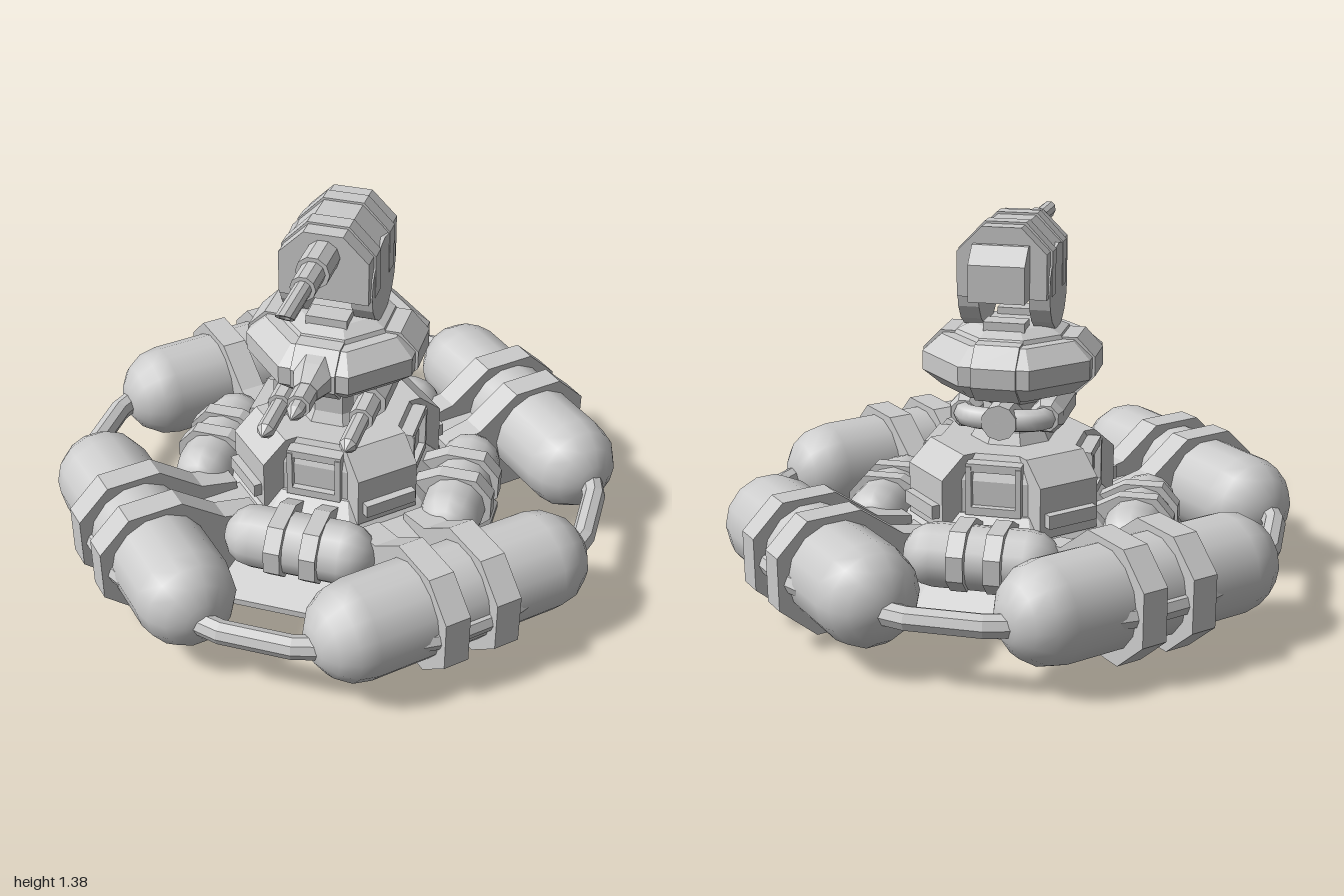
import * as THREE from 'three';

const flat = new THREE.MeshStandardMaterial({ color: 0xcccccc, flatShading: true, side: THREE.DoubleSide });
const smooth = new THREE.MeshStandardMaterial({ color: 0xcccccc });

function add(parent, name, geometry, x = 0, y = 0, z = 0, material = flat) {
  const mesh = new THREE.Mesh(geometry, material);
  mesh.name = name;
  mesh.position.set(x, y, z);
  parent.add(mesh);
  return mesh;
}

const box = (w, h, d) => new THREE.BoxGeometry(w, h, d);

// Eight-sided solid with faces square to the axes; points are [apothem, y]
function octagon(points) {
  const k = 1 / Math.cos(Math.PI / 8);
  const profile = points.map(([r, y]) => new THREE.Vector2(r * k, y));
  return new THREE.LatheGeometry(profile, 8).rotateY(Math.PI / 8);
}

// Outline in (x, y) extruded along z and centred on it
function slab(points, depth) {
  const shape = new THREE.Shape(points.map(([x, y]) => new THREE.Vector2(x, y)));
  return new THREE.ExtrudeGeometry(shape, { depth, bevelEnabled: false }).translate(0, 0, -depth / 2);
}

// Four copies around the vertical axis, each built facing local +x
function fourTimes(parent, name, start, build) {
  for (let i = 0; i < 4; i++) {
    const g = new THREE.Group();
    g.name = name;
    g.rotation.y = start + i * Math.PI / 2;
    build(g);
    parent.add(g);
  }
}

// Stepped barrel along +z from [radius, z] points
function barrel(points, sides = 10) {
  const profile = points.map(([r, z]) => new THREE.Vector2(r, z));
  return new THREE.LatheGeometry(profile, sides).rotateY(Math.PI / sides).rotateX(Math.PI / 2);
}

function buildBase(model) {
  const base = new THREE.Group();
  base.name = 'base';
  model.add(base);
  add(base, 'hull', octagon([[0, 0.02], [0.58, 0.02], [0.58, 0.045], [0.36, 0.3], [0.3, 0.36], [0, 0.36]]));
  add(base, 'bottomRim', octagon([[0.39, 0.02], [0.39, 0], [0.43, 0], [0.43, 0.02]]));
  add(base, 'core', octagon([[0.29, 0.3], [0.29, 0.48], [0.25, 0.57], [0, 0.57]]));

  // Round guard rail linking the large tanks
  const rail = new THREE.TorusGeometry(0.965, 0.042, 8, 24).rotateX(Math.PI / 2).rotateY(Math.PI / 24);
  add(base, 'guardRail', rail, 0, 0.25, 0);

  // Large float tanks on the diagonals
  const tank = new THREE.CapsuleGeometry(0.18, 0.73, 4, 14).rotateX(Math.PI / 2);
  const strap = slab([[0.4, 0.06], [0.6, 0.04], [0.88, 0.04], [1.015, 0.16], [1.015, 0.35],
    [0.9, 0.46], [0.7, 0.46], [0.54, 0.34], [0.4, 0.31]], 0.095);
  const buttress = slab([[0.1, 0.3], [0.37, 0.3], [0.37, 0.49], [0.28, 0.57], [0.1, 0.57]], 0.24);
  fourTimes(base, 'largeTankUnit', Math.PI / 4, (g) => {
    add(g, 'largeTank', tank, 0.8, 0.26, 0, smooth);
    for (const s of [-1, 1]) add(g, 'tankStrap', strap, 0, 0, s * 0.1);
    add(g, 'tankArm', box(0.36, 0.22, 0.16), 0.48, 0.17, 0);
    add(g, 'buttress', buttress);
    add(g, 'buttressStep', box(0.1, 0.05, 0.2), 0.35, 0.37, 0);
  });

  // Small tanks and framed panels on the axes
  const smallTank = new THREE.CapsuleGeometry(0.115, 0.33, 4, 12).rotateX(Math.PI / 2);
  const smallStrap = slab([[0.3, 0.17], [0.55, 0.17], [0.61, 0.23], [0.61, 0.32], [0.55, 0.39], [0.41, 0.39], [0.3, 0.33]], 0.06);
  fourTimes(base, 'smallTankUnit', 0, (g) => {
    add(g, 'smallTank', smallTank, 0.475, 0.27, 0, smooth);
    for (const s of [-1, 1]) {
      add(g, 'smallTankStrap', smallStrap, 0, 0, s * 0.065);
      add(g, 'panelPost', box(0.05, 0.17, 0.02), 0.29, 0.455, s * 0.09);
    }
    add(g, 'panelTop', box(0.05, 0.03, 0.2), 0.285, 0.535, 0);
    add(g, 'panelSill', box(0.05, 0.03, 0.2), 0.29, 0.375, 0);
  });
}

function buildNeck(model) {
  const neck = new THREE.Group();
  neck.name = 'neck';
  model.add(neck);
  add(neck, 'column', octagon([[0.15, 0.56], [0.125, 0.61], [0.125, 0.72], [0.17, 0.78]]));
  add(neck, 'gunCrossbar', box(0.3, 0.07, 0.16), 0, 0.68, 0);

  // Twin lower guns with feed pipe and rear drum
  const gun = barrel([[0, -0.14], [0.05, -0.14], [0.065, -0.11], [0.065, 0.12], [0.046, 0.12],
    [0.046, 0.23], [0.032, 0.23], [0.032, 0.39], [0, 0.43]], 8);
  for (const s of [-1, 1]) add(neck, 'lowerGun', gun, s * 0.15, 0.68, 0);
  const path = new THREE.CatmullRomCurve3([[-0.15, -0.1], [-0.14, -0.15], [-0.09, -0.18], [0.09, -0.18], [0.14, -0.15], [0.15, -0.1]]
    .map(([x, z]) => new THREE.Vector3(x, 0, z)));
  add(neck, 'feedPipe', new THREE.TubeGeometry(path, 20, 0.042, 8), 0, 0.68, 0, smooth);
  add(neck, 'rearDrum', new THREE.CylinderGeometry(0.065, 0.065, 0.13, 10).rotateX(Math.PI / 2), 0, 0.68, -0.165);
}

function buildRing(model) {
  const ring = new THREE.Group();
  ring.name = 'turretRing';
  model.add(ring);
  add(ring, 'ringBody', octagon([[0, 0.77], [0.24, 0.77], [0.305, 0.83], [0.305, 0.9], [0.24, 0.96], [0, 0.96]]));
  const panel = slab([[0.18, 0.765], [0.25, 0.765], [0.315, 0.83], [0.315, 0.9], [0.25, 0.968], [0.18, 0.968]], 0.16);
  fourTimes(ring, 'ringPanel', 0, (g) => add(g, 'ringPanelPlate', panel));

  // Nose gun on the front of the ring
  const housing = barrel([[0.085, 0.27], [0.075, 0.31], [0.045, 0.39], [0, 0.39]], 8);
  add(ring, 'noseHousing', housing, 0, 0.87, 0);
  add(ring, 'noseGun', barrel([[0.043, 0.36], [0.043, 0.47], [0.03, 0.47], [0.03, 0.51], [0, 0.555]], 8), 0, 0.87, 0);

  // Collar that carries the head
  add(ring, 'collar', octagon([[0.2, 0.955], [0.19, 0.975], [0.14, 1.0], [0, 1.0]]));
  for (const s of [-1, 1]) add(ring, 'collarPad', box(0.15, 0.07, 0.08), 0, 0.99, s * 0.11);
}

function buildHead(model) {
  const head = new THREE.Group();
  head.name = 'head';
  model.add(head);

  // Chamfered body with raised bands
  const outline = (e) => [[-0.16 - e, 1.12], [0.16 + e, 1.12], [0.16 + e, 1.28], [0.07 + e / 2, 1.37 + e], [-0.07 - e / 2, 1.37 + e], [-0.16 - e, 1.28]];
  add(head, 'headBody', slab(outline(0), 0.36));
  for (const z of [-0.09, 0.09]) add(head, 'headBand', slab(outline(0.008), 0.06), 0, 0, z);
  const rear = slab([[-0.17, 1.12], [-0.17, 1.31], [-0.2, 1.31], [-0.26, 1.25], [-0.26, 1.12]], 0.2);
  add(head, 'rearBox', rear).rotation.y = -Math.PI / 2;

  // Side discs forming the fork
  const disc = new THREE.CylinderGeometry(0.155, 0.155, 0.075, 16).rotateZ(Math.PI / 2);
  for (const s of [-1, 1]) add(head, 'sideDisc', disc, s * 0.128, 1.135, 0);

  // Main barrel, its muzzle cut at a slant
  add(head, 'mainBarrel', barrel([[0.06, 0.16], [0.06, 0.3], [0.045, 0.3], [0.045, 0.405], [0.031, 0.405], [0.031, 0.5]]), 0, 1.29, 0);
  const muzzle = barrel([[0.031, 0.5], [0.031, 0.59], [0.02, 0.59], [0, 0.57]]);
  const p = muzzle.attributes.position;
  for (let i = 0; i < p.count; i++) {
    if (p.getZ(i) > 0.55) p.setZ(i, p.getZ(i) + p.getY(i) * 1.1);
  }
  add(head, 'muzzle', muzzle, 0, 1.29, 0);
}

export function createModel() {
  const model = new THREE.Group();
  model.name = 'floatingTurret';
  buildBase(model);
  buildNeck(model);
  buildRing(model);
  buildHead(model);
  return model;
}
